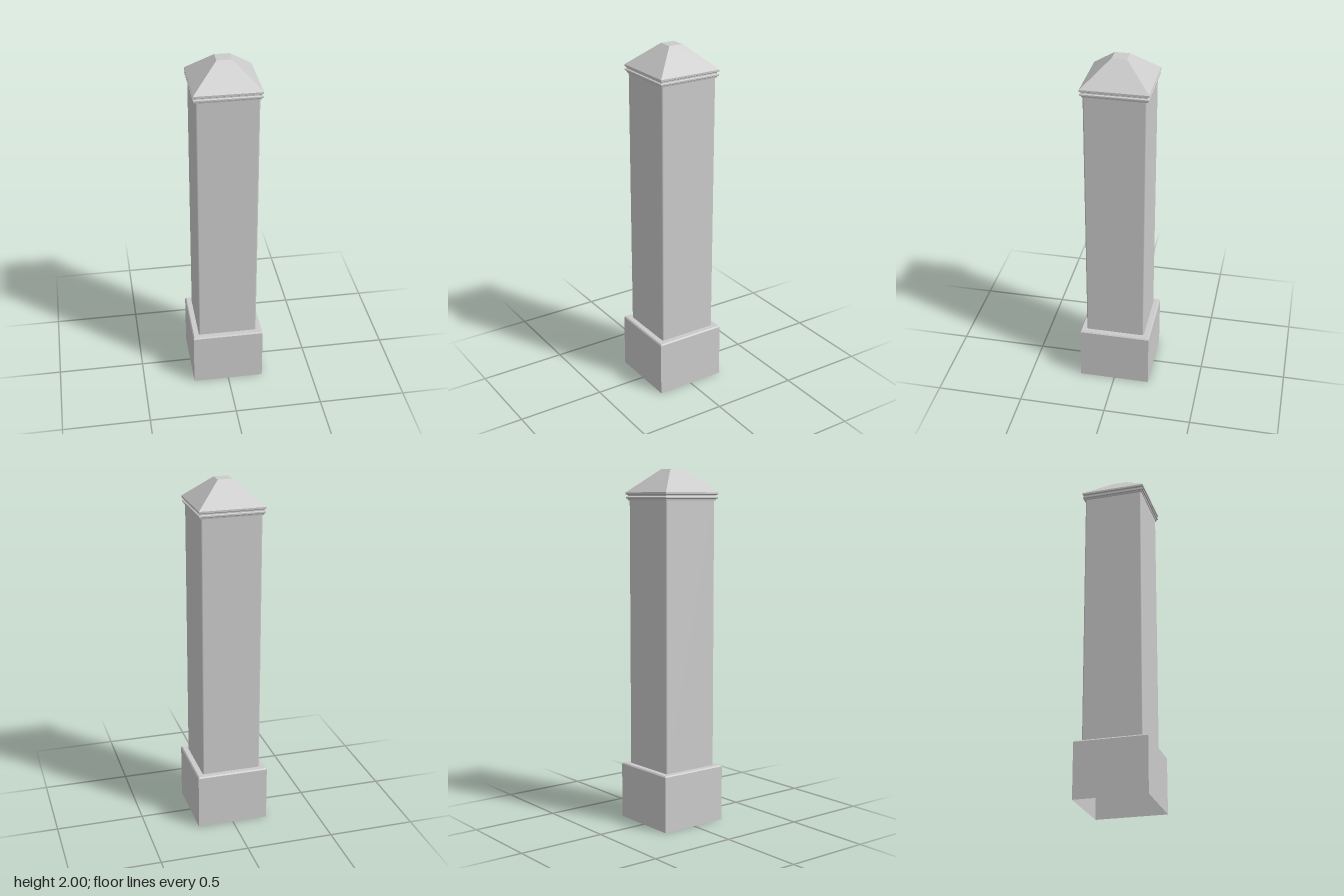
import * as THREE from 'three';

const material = new THREE.MeshStandardMaterial({ color: 0xcccccc, side: THREE.DoubleSide });

// Square solid with flat faces from a profile of [half width, height] pairs
function squareLoft(name, profile) {
  const points = profile.map(([half, y]) => new THREE.Vector2(half * Math.SQRT2, y));
  const geometry = new THREE.LatheGeometry(points, 4).rotateY(Math.PI / 4).toNonIndexed();
  geometry.computeVertexNormals();
  const mesh = new THREE.Mesh(geometry, material);
  mesh.name = name;
  return mesh;
}

// Open square tube with smooth rounded corners, bent from a cylinder
function roundedTube(name, half, radius, bottom, top) {
  const steps = 3, perCorner = steps + 1, sides = 4 * perCorner;
  const geometry = new THREE.CylinderGeometry(1, 1, top - bottom, sides, 1, true);
  const { position, normal } = geometry.attributes;
  for (let i = 0; i < position.count; i++) {
    const k = i % (sides + 1);
    const start = Math.floor(k / perCorner) * Math.PI / 2;
    const angle = start + (k % perCorner) / steps * Math.PI / 2;
    const middle = start + Math.PI / 4;
    const reach = (half - radius) * Math.SQRT2;
    const nx = Math.sin(angle), nz = Math.cos(angle);
    position.setX(i, reach * Math.sin(middle) + radius * nx);
    position.setZ(i, reach * Math.cos(middle) + radius * nz);
    normal.setXYZ(i, nx, 0, nz);
  }
  const mesh = new THREE.Mesh(geometry, material);
  mesh.name = name;
  mesh.position.y = (bottom + top) / 2;
  return mesh;
}

export function createModel() {
  const group = new THREE.Group();
  group.name = 'pillar';

  // Plinth, open underneath, with a bevelled upper rim
  group.add(squareLoft('base', [[0.205, 0], [0.205, 0.315], [0.199, 0.322], [0.165, 0.322]]));

  // Tall post
  group.add(roundedTube('shaft', 0.17, 0.009, 0.32, 1.835));

  // Stepped moulding under the roof
  group.add(squareLoft('moulding', [
    [0.165, 1.828], [0.174, 1.828], [0.176, 1.836], [0.183, 1.84],
    [0.183, 1.847], [0.175, 1.851], [0.175, 1.857], [0.184, 1.862],
  ]));

  // Truncated pyramid roof
  group.add(squareLoft('roof', [[0.184, 1.862], [0.184, 1.872], [0.041, 2], [0, 2]]));

  return group;
}
